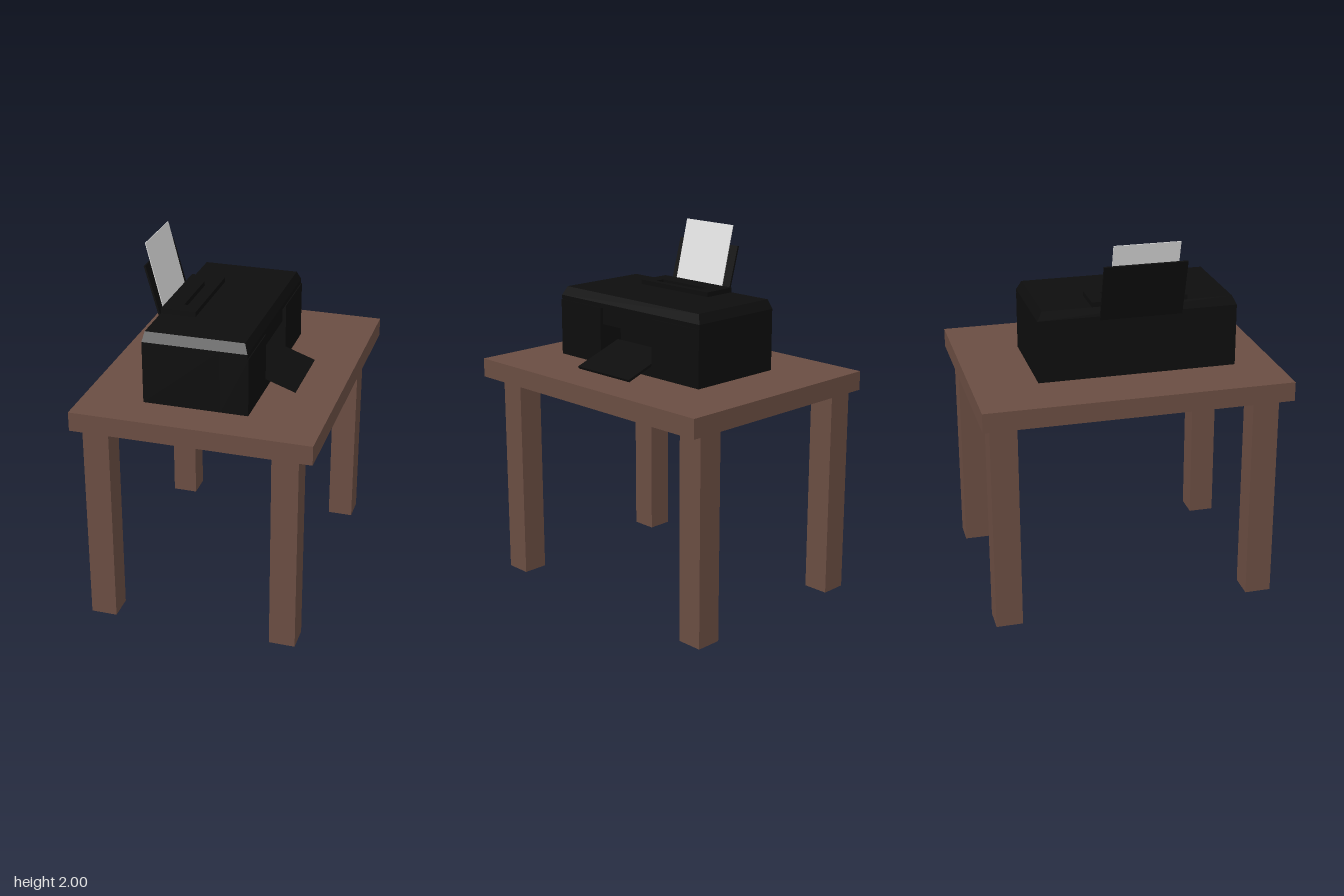
import * as THREE from 'three';

const wood = new THREE.MeshStandardMaterial({ color: 0x6a4d42 });
wood.name = 'brown wood';
const black = new THREE.MeshStandardMaterial({ color: 0x0d0d0d });
black.name = 'black plastic';
const white = new THREE.MeshStandardMaterial({ color: 0xe0e0e0 });
white.name = 'paper white';

// Box given by its limits on each axis
function box(parent, name, mat, [x0, x1], [y0, y1], [z0, z1]) {
  const mesh = new THREE.Mesh(new THREE.BoxGeometry(x1 - x0, y1 - y0, z1 - z0), mat);
  mesh.position.set((x0 + x1) / 2, (y0 + y1) / 2, (z0 + z1) / 2);
  mesh.name = name;
  parent.add(mesh);
  return mesh;
}

// Thin plate running between two points in the x-y plane
function plate(parent, name, mat, [x0, y0], [x1, y1], thickness, [z0, z1]) {
  const length = Math.hypot(x1 - x0, y1 - y0);
  const mesh = new THREE.Mesh(new THREE.BoxGeometry(length, thickness, z1 - z0), mat);
  mesh.position.set((x0 + x1) / 2, (y0 + y1) / 2, (z0 + z1) / 2);
  mesh.rotation.z = Math.atan2(y1 - y0, x1 - x0);
  mesh.name = name;
  parent.add(mesh);
}

function createTable() {
  const table = new THREE.Group();
  table.name = 'table';
  box(table, 'tabletop', wood, [-0.643, 0.643], [1.155, 1.26], [-0.83, 0.83]);
  for (const x of [[-0.6, -0.457], [0.415, 0.557]])
    for (const z of [[-0.79, -0.646], [0.617, 0.76]]) box(table, 'leg', wood, x, [0, 1.155], z);
  return table;
}

function createPrinter() {
  const printer = new THREE.Group();
  printer.name = 'printer';
  const bay = [-0.125, 0.28];
  const zEnds = [-0.475, 0.608];

  // Case around the paper bay
  box(printer, 'rearCase', black, [-0.315, 0.1], [1.26, 1.6], zEnds);
  box(printer, 'frontCase', black, [0.1, 0.25], [1.26, 1.575], [zEnds[0], bay[0]]);
  box(printer, 'frontCase', black, [0.1, 0.25], [1.26, 1.575], [bay[1], zEnds[1]]);
  box(printer, 'bayFloor', black, [0.1, 0.25], [1.26, 1.315], bay);
  box(printer, 'bayPanel', black, [0.1, 0.23], [1.48, 1.575], bay);
  box(printer, 'lidRim', black, [0.1, 0.245], [1.575, 1.6], zEnds);

  // Lid with bevelled edges
  const lid = box(printer, 'lid', black, [-0.315, 0.245], [1.6, 1.65], zEnds);
  const p = lid.geometry.attributes.position;
  for (let i = 0; i < p.count; i++) {
    if (p.getY(i) < 0) continue;
    p.setX(i, p.getX(i) + (p.getX(i) > 0 ? -0.02 : 0.01));
    p.setZ(i, p.getZ(i) - Math.sign(p.getZ(i)) * 0.026);
  }
  lid.geometry = lid.geometry.toNonIndexed();
  lid.geometry.computeVertexNormals();

  // Raised feeder frame around a shallow slot
  const slot = [-0.1, 0.25];
  box(printer, 'feederFrame', black, [-0.305, -0.205], [1.65, 1.676], [-0.183, 0.335]);
  box(printer, 'feederFrame', black, [-0.15, -0.115], [1.65, 1.676], [-0.183, 0.335]);
  box(printer, 'feederFrame', black, [-0.205, -0.15], [1.65, 1.676], [-0.183, slot[0]]);
  box(printer, 'feederFrame', black, [-0.205, -0.15], [1.65, 1.676], [slot[1], 0.335]);

  // Paper, its rear support and the output tray
  plate(printer, 'paperSupport', black, [-0.313, 1.58], [-0.4, 1.89], 0.01, [-0.143, 0.304]);
  plate(printer, 'paper', white, [-0.306, 1.6], [-0.408, 2], 0.004, [-0.095, 0.262]);
  plate(printer, 'outputTray', black, [0.12, 1.372], [0.415, 1.268], 0.014, [-0.125, 0.28]);
  return printer;
}

export function createModel() {
  const model = new THREE.Group();
  model.name = 'printerOnTable';
  model.add(createTable(), createPrinter());
  return model;
}
